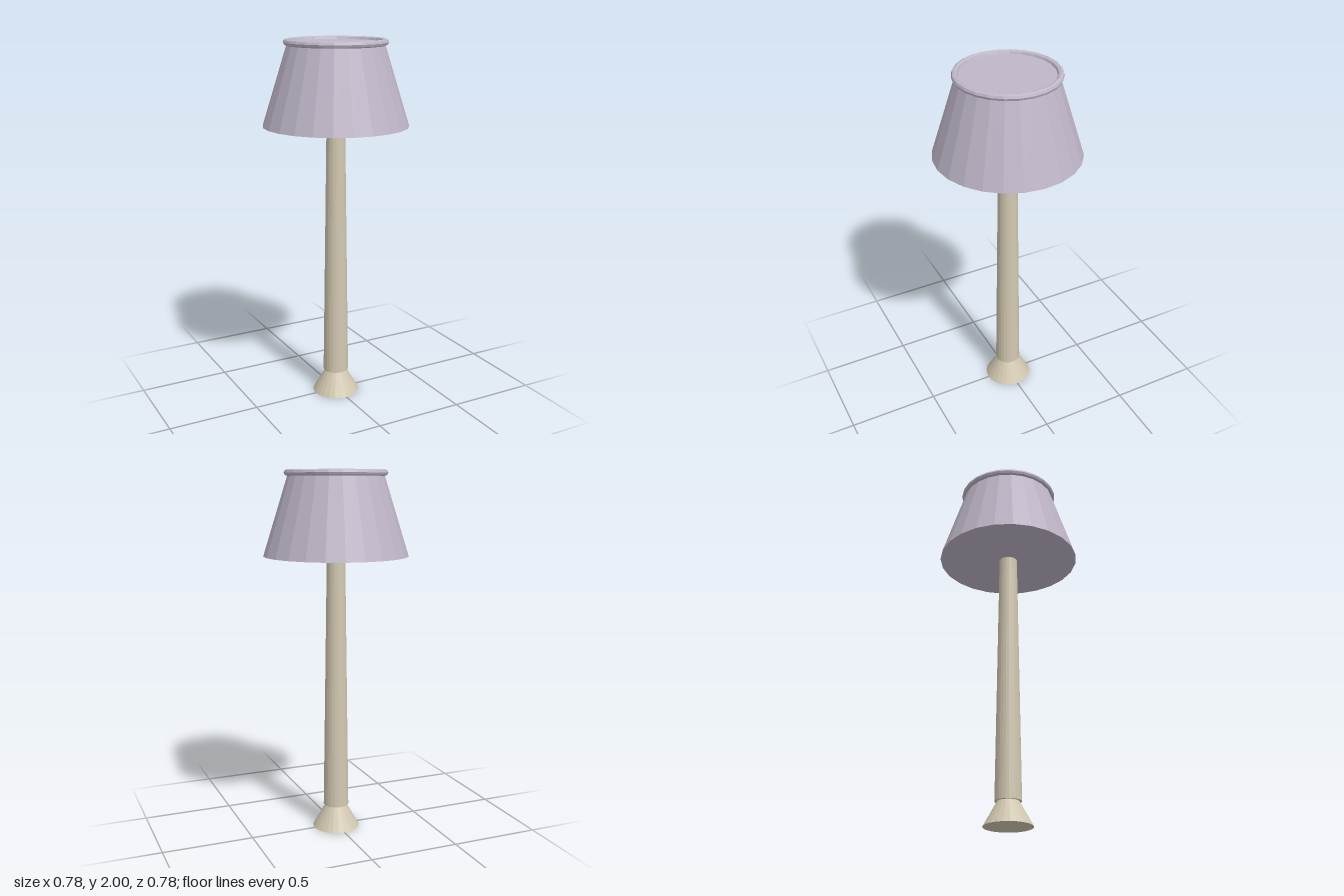
import * as THREE from 'three';

const SIDES = 24;

export function createModel() {
  const group = new THREE.Group();
  const cream = new THREE.MeshStandardMaterial({ color: 0xd2c8b1, flatShading: true });
  cream.name = 'cream';
  const lilac = new THREE.MeshStandardMaterial({ color: 0xbfb6c8, flatShading: true });
  lilac.name = 'lilac';

  const add = (name, geometry, material, y) => {
    const mesh = new THREE.Mesh(geometry, material);
    mesh.name = name;
    mesh.position.y = y;
    group.add(mesh);
  };
  // Tapered round part standing between two heights
  const taper = (name, material, rBottom, rTop, y0, y1) =>
    add(name, new THREE.CylinderGeometry(rTop, rBottom, y1 - y0, SIDES), material, (y0 + y1) / 2);

  // Flared foot, tucked slightly into the column
  taper('base', cream, 0.131, 0.047, 0, 0.15);
  // Tall column, narrowing upward into the shade
  taper('column', cream, 0.071, 0.05, 0.13, 1.56);
  // Closed conical shade
  taper('shade', lilac, 0.392, 0.254, 1.545, 1.983);

  // Rounded rim around the top of the shade
  const rim = new THREE.TorusGeometry(0.26, 0.017, 8, SIDES);
  rim.rotateX(-Math.PI / 2);
  add('shadeRim', rim, lilac, 1.983);

  return group;
}
